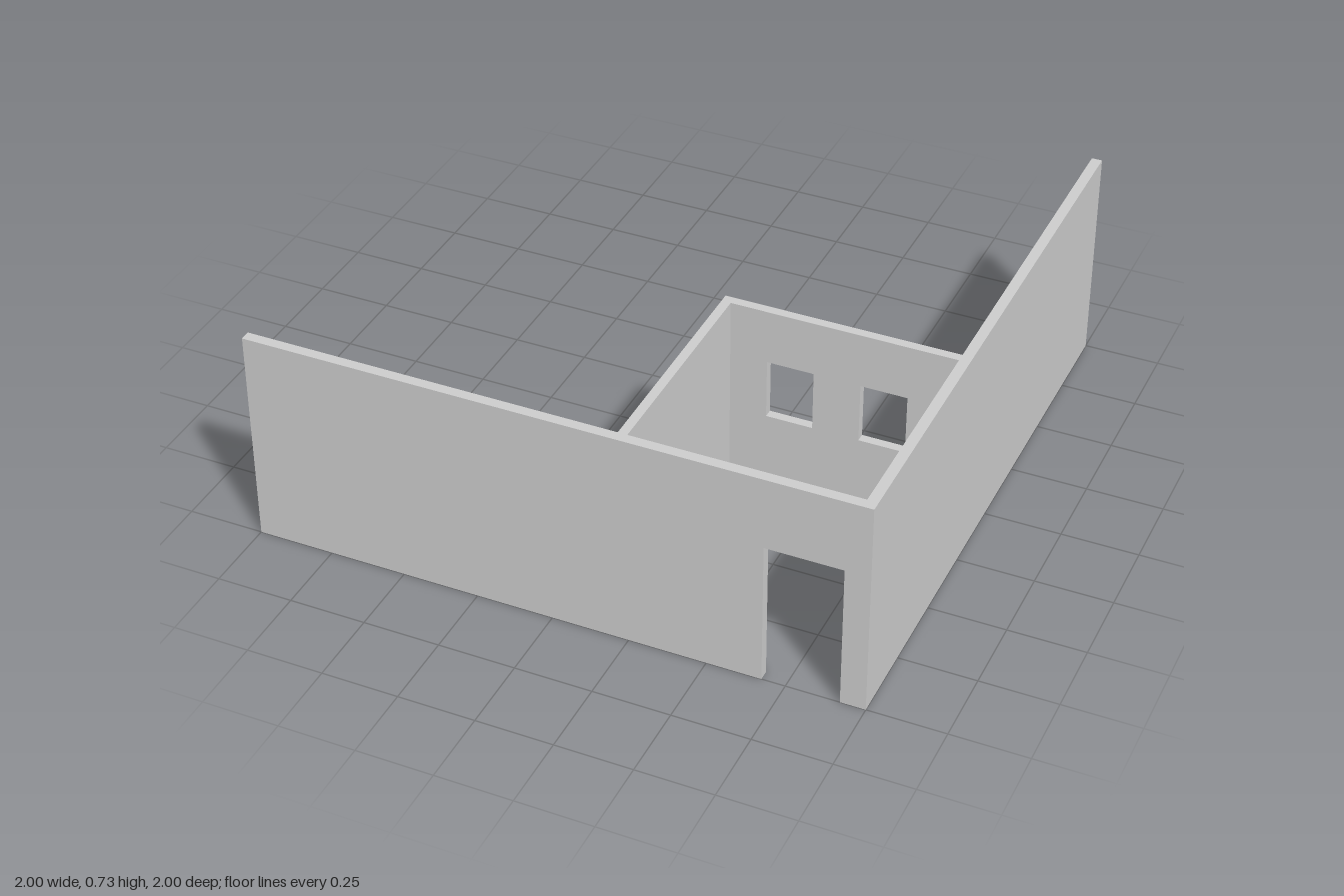
import * as THREE from 'three';

const HEIGHT = 0.725;
const material = new THREE.MeshStandardMaterial({ color: 0xcccccc, flatShading: true });

// Wall parallel to x, from z0 to z1; the outline may carry a doorway and windows
function wallAlongX(name, outline, windows, z0, z1) {
  const shape = new THREE.Shape(outline.map(([x, y]) => new THREE.Vector2(x, y)));
  for (const [x0, x1, y0, y1] of windows) {
    const hole = new THREE.Path();
    hole.moveTo(x0, y0).lineTo(x0, y1).lineTo(x1, y1).lineTo(x1, y0).closePath();
    shape.holes.push(hole);
  }
  const geometry = new THREE.ExtrudeGeometry(shape, { depth: z1 - z0, bevelEnabled: false });
  geometry.translate(0, 0, z0);
  const mesh = new THREE.Mesh(geometry, material);
  mesh.name = name;
  return mesh;
}

// Plain wall parallel to z
function wallAlongZ(name, x0, x1, z0, z1) {
  const mesh = new THREE.Mesh(new THREE.BoxGeometry(x1 - x0, HEIGHT, z1 - z0), material);
  mesh.position.set((x0 + x1) / 2, HEIGHT / 2, (z0 + z1) / 2);
  mesh.name = name;
  return mesh;
}

export function createModel() {
  const group = new THREE.Group();
  group.name = 'walledRoom';
  const inner = 0.966; // inside face of the two long walls

  // Long front wall with a doorway near the corner
  group.add(wallAlongX('frontWall', [
    [-1, 0], [0.675, 0], [0.675, 0.485], [0.92, 0.485], [0.92, 0], [1, 0],
    [1, HEIGHT], [-1, HEIGHT],
  ], [], inner, 1));

  // Long side wall
  group.add(wallAlongZ('leftWall', inner, 1, -1, inner));

  // Room back wall with two windows
  group.add(wallAlongX('roomBackWall',
    [[0.209, 0], [inner, 0], [inner, HEIGHT], [0.209, HEIGHT]],
    [[0.36, 0.512, 0.342, 0.543], [0.663, 0.813, 0.342, 0.543]],
    0.208, 0.238));

  // Room inner side wall
  group.add(wallAlongZ('roomSideWall', 0.209, 0.239, 0.238, inner));

  return group;
}
